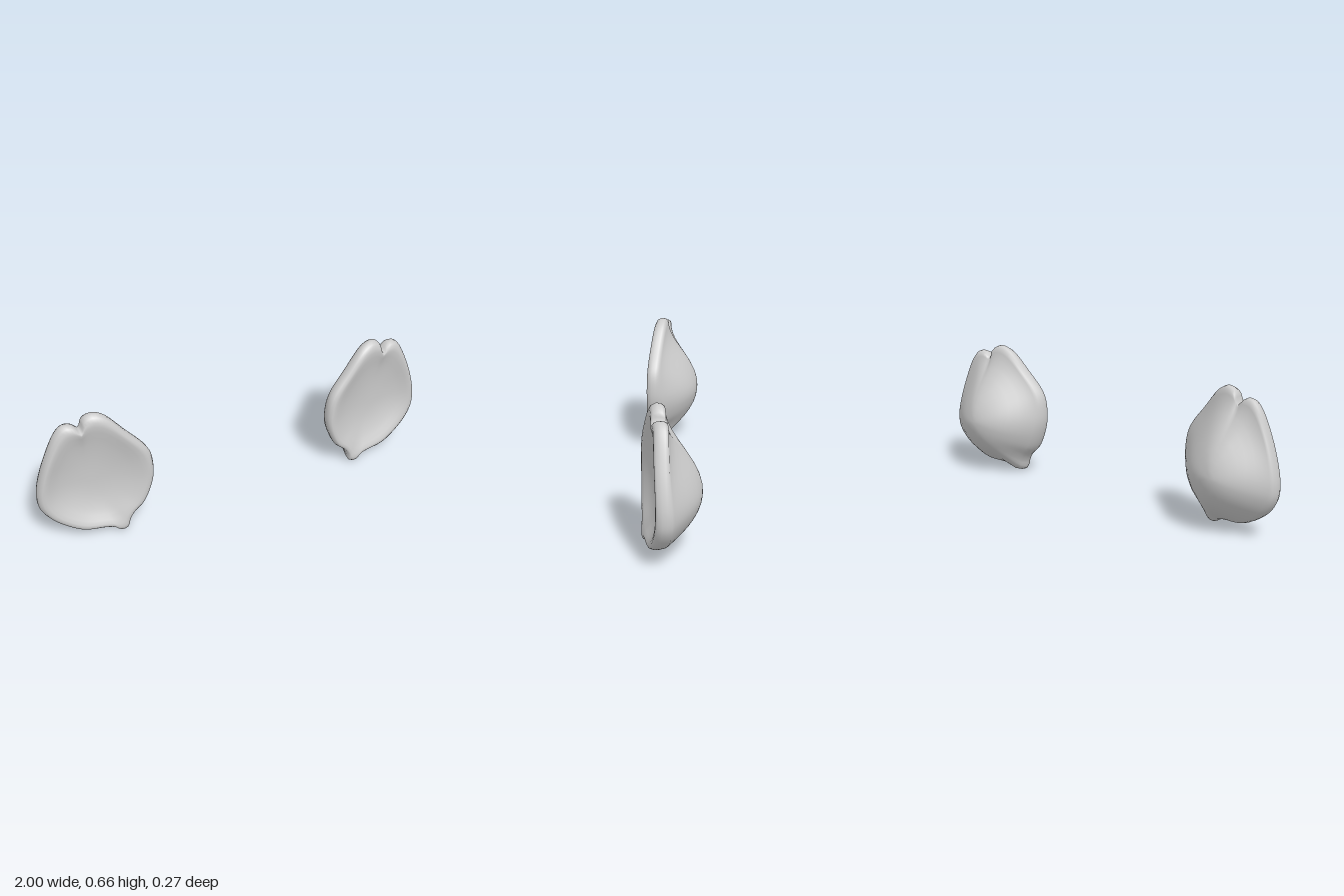
import * as THREE from 'three';

const SEGMENTS = 110;
const CENTRE = new THREE.Vector3(0.745, 0.285, 0);

// Outline of the left ear, clockwise from the main tip: notch, second lobe, outer edge, earlobe stub, inner edge
const OUTLINE = [
  [0.716, 0.665], [0.757, 0.645], [0.774, 0.592], [0.808, 0.622], [0.85, 0.625], [0.885, 0.592],
  [0.95, 0.45], [0.99, 0.32], [0.999, 0.255], [0.993, 0.2], [0.958, 0.14], [0.9, 0.09],
  [0.81, 0.043], [0.705, 0.034], [0.662, 0.024], [0.642, 0.006], [0.62, 0.001], [0.597, 0.014],
  [0.588, 0.05], [0.565, 0.09], [0.513, 0.14], [0.466, 0.25], [0.457, 0.33], [0.476, 0.43],
  [0.57, 0.545], [0.665, 0.648],
];

// Front of the rim: the ear turns outward, its foot leans forward and its tips lean back
const rimZ = (x, y) =>
  0.138 - 0.146 * (x - 0.46) + 0.25 * Math.max(0, 0.3 - y) ** 2 - 0.2 * Math.max(0, y - 0.4) ** 2;

// Cross-section of the hollow and rolled rim: [share of radius, depth behind the rim]
const HOLLOW = 0.05;
const FRONT = [
  [0.15, 0.05], [0.3, 0.048], [0.45, 0.043], [0.6, 0.034], [0.72, 0.023], [0.82, 0.011],
  [0.89, 0.004], [0.94, 0.003], [0.98, 0.011], [1, 0.03], [0.995, 0.05],
];
const BACK = [0.975, 0.93, 0.84, 0.74, 0.62, 0.5, 0.36, 0.22, 0.1];
const BACK_Z = -0.137;

// Moving average that rounds off the notch and the stub
function smooth(points, reach) {
  return points.map((_, j) => {
    const sum = new THREE.Vector3();
    for (let k = -reach; k <= reach; k++) sum.add(points[(j + k + SEGMENTS) % SEGMENTS]);
    return sum.divideScalar(2 * reach + 1);
  });
}

function earGeometry(side) {
  const curve = new THREE.CatmullRomCurve3(
    OUTLINE.map(([x, y]) => new THREE.Vector3(x, y, 0)), true, 'centripetal');
  const edge = [];
  for (let j = 0; j < SEGMENTS; j++) edge.push(curve.getPointAt(j / SEGMENTS));
  // Averaging shrinks the outline slightly, so it is widened again
  const soft = smooth(smooth(edge, 9), 7).map((p) => p.sub(CENTRE).multiplyScalar(1.05).add(CENTRE));

  const positions = [];
  const add = (x, y, z) => positions.push(side * x, y, z);

  // The outline relaxes into its rounded form towards the centre
  const ring = (s, depthAt) => {
    edge.forEach((point, j) => {
      const p = soft[j].clone().lerp(point, s ** 5);
      const { x, y } = CENTRE.clone().lerp(p, s);
      add(x, y, depthAt(x, y, soft[j]));
    });
  };

  add(CENTRE.x, CENTRE.y, rimZ(CENTRE.x, CENTRE.y) - HOLLOW);
  for (const [s, depth] of FRONT) ring(s, (x, y) => rimZ(x, y) - depth);
  for (const s of BACK) {
    ring(s, (x, y, p) => {
      // The bulging back tapers more steeply towards the tips
      const taper = 0.95 + 0.9 * THREE.MathUtils.smoothstep(p.y, 0.2, 0.6);
      return THREE.MathUtils.lerp(rimZ(x, y) - 0.064, BACK_Z, (1 - s * s) ** taper);
    });
  }
  add(CENTRE.x, CENTRE.y, BACK_Z);

  const rings = FRONT.length + BACK.length;
  const last = 1 + rings * SEGMENTS;
  const indices = [];
  const tri = (a, b, c) => (side > 0 ? indices.push(a, b, c) : indices.push(a, c, b));
  const at = (i, j) => 1 + i * SEGMENTS + (j % SEGMENTS);
  for (let j = 0; j < SEGMENTS; j++) {
    tri(0, at(0, j + 1), at(0, j));
    for (let i = 0; i < rings - 1; i++) {
      tri(at(i, j), at(i + 1, j + 1), at(i + 1, j));
      tri(at(i, j), at(i, j + 1), at(i + 1, j + 1));
    }
    tri(at(rings - 1, j), at(rings - 1, j + 1), last);
  }

  const geometry = new THREE.BufferGeometry();
  geometry.setAttribute('position', new THREE.Float32BufferAttribute(positions, 3));
  geometry.setIndex(indices);
  geometry.computeVertexNormals();
  return geometry;
}

export function createModel() {
  const group = new THREE.Group();
  group.name = 'earPair';
  const material = new THREE.MeshStandardMaterial({ color: 0xcccccc });
  for (const [name, side] of [['leftEar', 1], ['rightEar', -1]]) {
    const ear = new THREE.Mesh(earGeometry(side), material);
    ear.name = name;
    group.add(ear);
  }
  return group;
}
